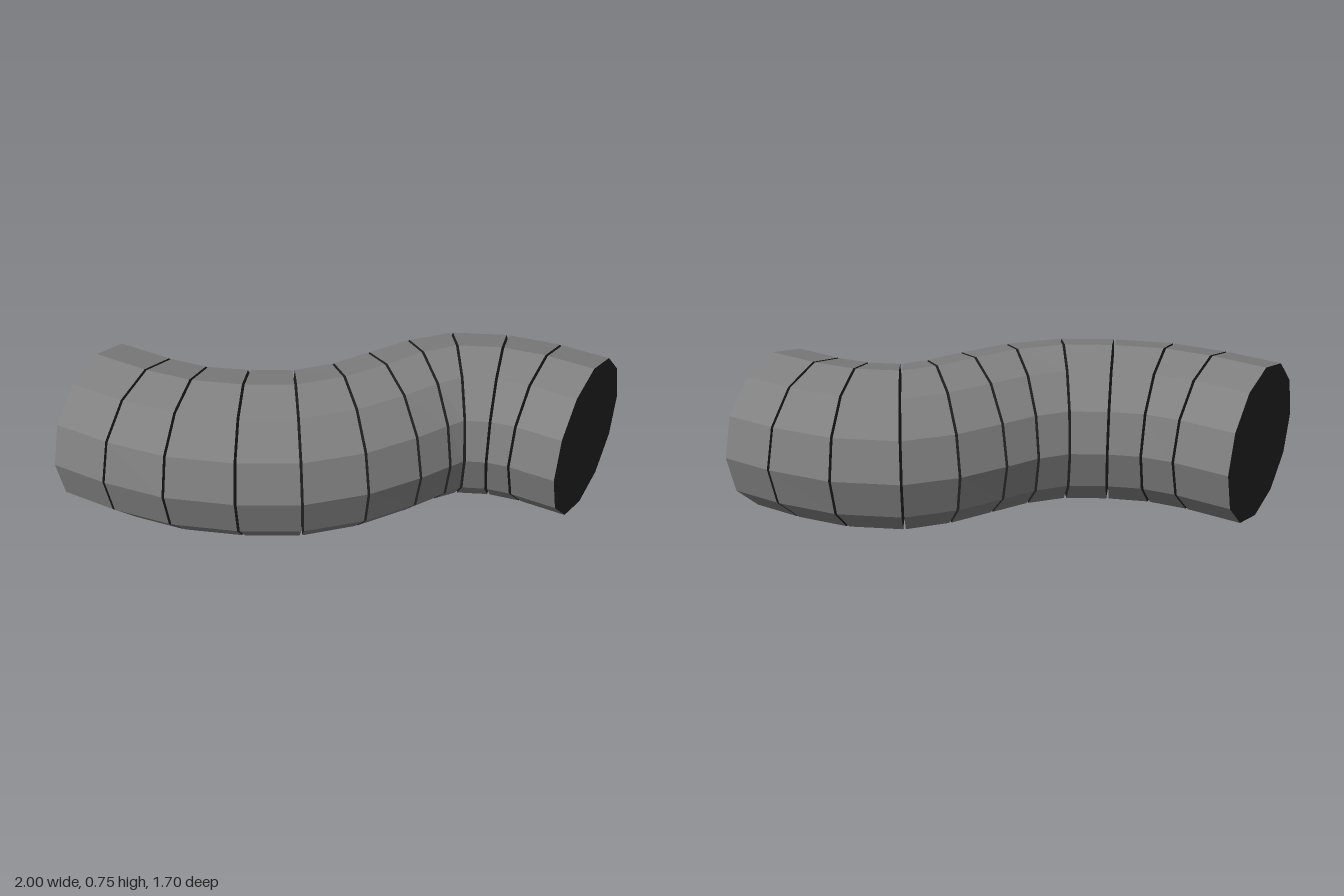
import * as THREE from 'three';

const R = 0.373, SIDES = 12, HALF_GAP = 0.006;

// Joints along the S-bend: centre x, centre z, turn in degrees
const joints = [
  [-1, 0.473, 0], [-0.737, 0.473, 0], [-0.52, 0.445, 10.9], [-0.3, 0.365, 24],
  [-0.1, 0.257, 33.4], [0.057, 0.102, 45], [0.172, -0.072, 52.5], [0.272, -0.237, 47],
  [0.383, -0.36, 32.5], [0.57, -0.443, 15.8], [0.768, -0.475, 0.4], [0.993, -0.477, -1],
];

// Lays a unit-long upright shape between two joints, leaving a slit at inner ones
function layBetween(geometry, i) {
  const p = geometry.attributes.position;
  for (let v = 0; v < p.count; v++) {
    const atEnd = p.getY(v) > 0;
    const k = atEnd ? i + 1 : i;
    const [cx, cz, degrees] = joints[k];
    const t = THREE.MathUtils.degToRad(degrees);
    const outer = k === 0 || k === joints.length - 1;
    const along = outer ? 0 : (atEnd ? -HALF_GAP : HALF_GAP);
    const across = p.getZ(v);
    p.setXYZ(v,
      cx + along * Math.cos(t) + across * Math.sin(t),
      R - p.getX(v),
      cz - along * Math.sin(t) + across * Math.cos(t));
  }
  const flat = geometry.toNonIndexed();
  flat.computeVertexNormals();
  return flat;
}

export function createModel() {
  const model = new THREE.Group();
  model.name = 'bentPipe';
  const shell = new THREE.MeshStandardMaterial({ color: 0x808080, flatShading: true });
  const dark = new THREE.MeshStandardMaterial({ color: 0x222222, flatShading: true });

  for (let i = 0; i < joints.length - 1; i++) {
    const segment = new THREE.Group();
    segment.name = `segment${i + 1}`;

    // Twelve-sided wall
    const wall = new THREE.Mesh(
      layBetween(new THREE.CylinderGeometry(R, R, 1, SIDES, 1, true), i), shell);
    wall.name = 'wall';
    segment.add(wall);

    // Dark discs closing both ends
    for (const s of [-1, 1]) {
      const disc = new THREE.CircleGeometry(R, SIDES)
        .rotateX(-s * Math.PI / 2).translate(0, s * 0.5, 0);
      const cap = new THREE.Mesh(layBetween(disc, i), dark);
      cap.name = s < 0 ? 'startCap' : 'endCap';
      segment.add(cap);
    }
    model.add(segment);
  }
  return model;
}
